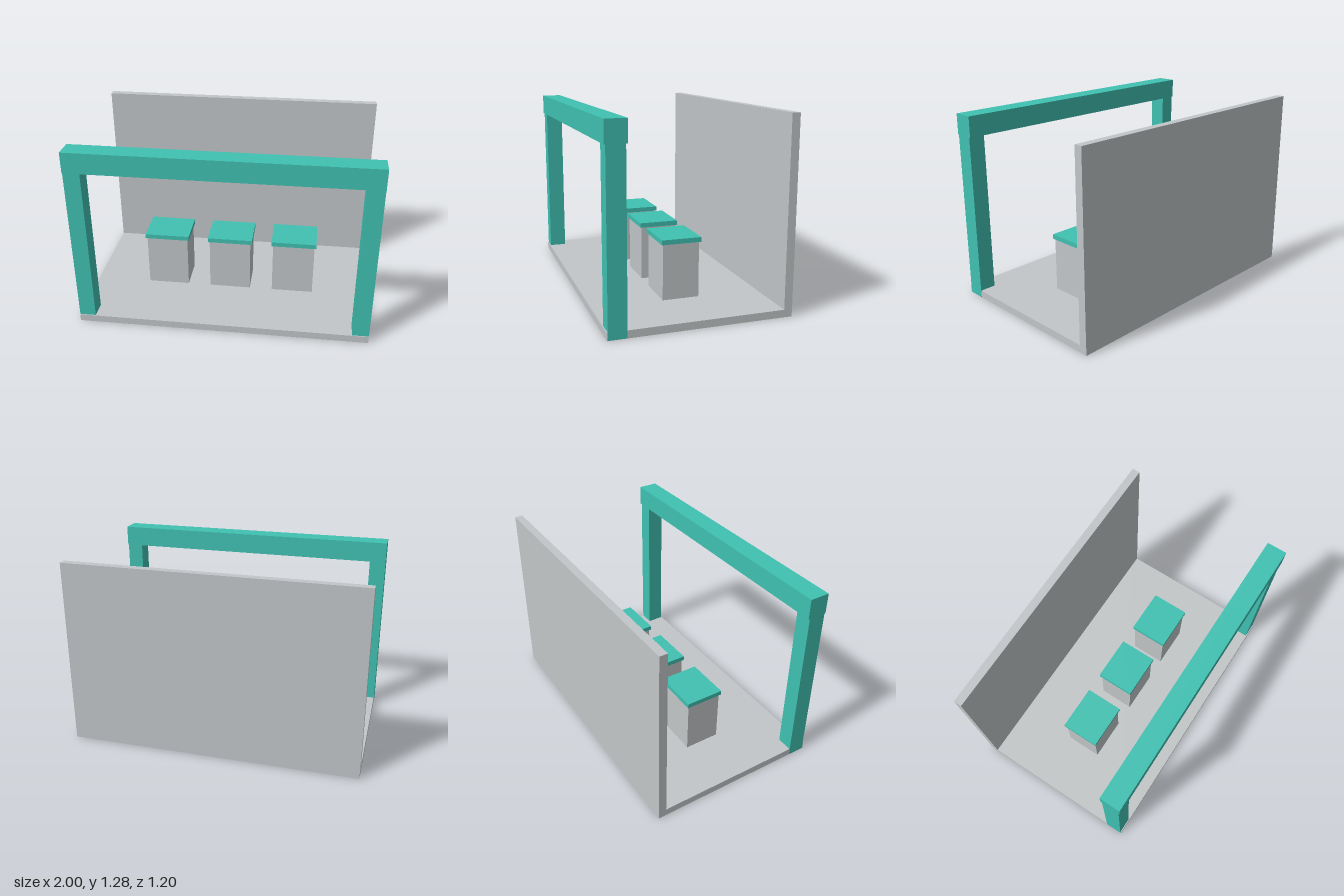
import * as THREE from 'three';

export function createModel() {
  const group = new THREE.Group();
  group.name = 'exhibitionBooth';
  const grey = new THREE.MeshStandardMaterial({ name: 'light grey', color: 0xc2c6c8 });
  const teal = new THREE.MeshStandardMaterial({ name: 'teal', color: 0x40c1b2 });

  // Box given by its min and max corners
  function box(name, material, [x0, y0, z0], [x1, y1, z1], parent = group) {
    const mesh = new THREE.Mesh(new THREE.BoxGeometry(x1 - x0, y1 - y0, z1 - z0), material);
    mesh.position.set((x0 + x1) / 2, (y0 + y1) / 2, (z0 + z1) / 2);
    mesh.name = name;
    parent.add(mesh);
    return mesh;
  }

  // Shell: floor slab and back wall
  box('floor', grey, [-0.999, 0, -0.602], [0.999, 0.05, 0.6]);
  box('backWall', grey, [-1, 0.05, -0.602], [1, 1.284, -0.547]);

  // Front portal: two posts set into the floor, and a slightly deeper beam
  for (const side of [-1, 1]) {
    const name = side > 0 ? 'leftPost' : 'rightPost';
    box(name, teal, [-0.056, 0.001, 0.475], [0.056, 1.143, 0.594]).position.x = side * 0.944;
  }
  box('beam', teal, [-1, 1.143, 0.464], [1, 1.284, 0.602]);

  // Row of three plinths with overhanging tops
  for (const x of [-0.46, 0, 0.46]) {
    const plinth = new THREE.Group();
    plinth.name = 'plinth';
    plinth.position.x = x;
    box('plinthBody', grey, [-0.148, 0.05, -0.125], [0.148, 0.426, 0.124], plinth);
    box('plinthTop', teal, [-0.16, 0.426, -0.136], [0.16, 0.458, 0.134], plinth);
    group.add(plinth);
  }

  return group;
}
